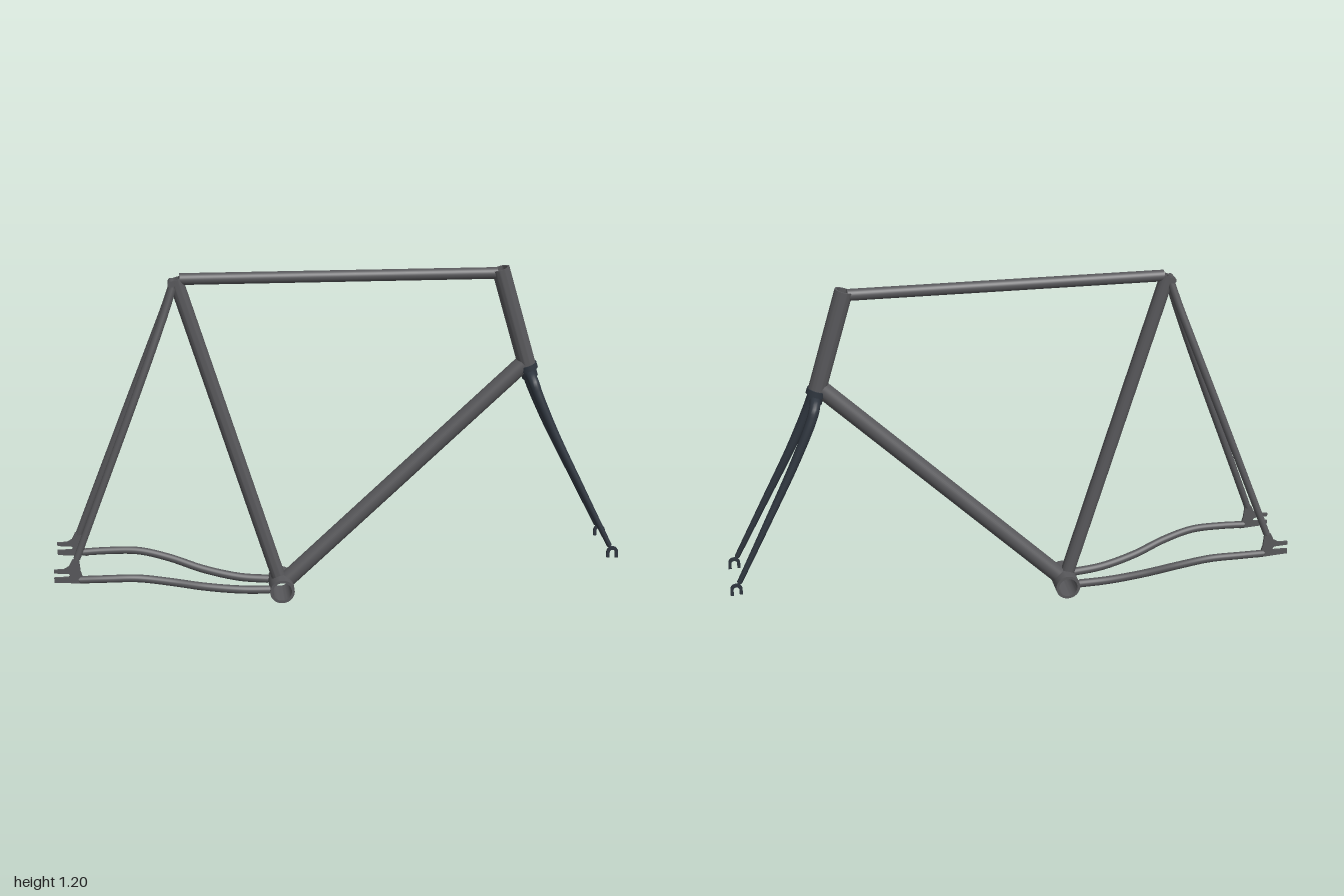
import * as THREE from 'three';
import { toCreasedNormals } from 'three/addons/utils/BufferGeometryUtils.js';

const V = (x, y, z = 0) => new THREE.Vector3(x, y, z);
const UP = V(0, 1, 0);

export function createModel() {
  const model = new THREE.Group();
  const frame = new THREE.Group();
  const fork = new THREE.Group();
  frame.name = 'frame';
  fork.name = 'fork';
  model.add(frame, fork);
  const frameMat = new THREE.MeshStandardMaterial({ color: 0x58585b });
  const forkMat = new THREE.MeshStandardMaterial({ color: 0x2f363f });

  function add(group, name, geometry) {
    const mesh = new THREE.Mesh(geometry, group === fork ? forkMat : frameMat);
    mesh.name = name;
    group.add(mesh);
    return mesh;
  }

  // Places a y-axis geometry along the line a-b
  function along(mesh, a, b) {
    mesh.position.copy(a).add(b).multiplyScalar(0.5);
    mesh.quaternion.setFromUnitVectors(UP, b.clone().sub(a).normalize());
    return mesh;
  }

  const rod = (group, name, a, b, r) =>
    along(add(group, name, new THREE.CylinderGeometry(r, r, a.distanceTo(b), 32)), a, b);

  // Straight tube with a wall and open ends
  function pipe(group, name, a, b, ro, ri) {
    const h = a.distanceTo(b) / 2;
    const profile = [[ri, -h], [ro, -h], [ro, h], [ri, h], [ri, -h]].map(p => new THREE.Vector2(...p));
    const geo = toCreasedNormals(new THREE.LatheGeometry(profile, 40), 0.6);
    return along(add(group, name, geo), a, b);
  }

  // Bent tube whose radius runs from r0 to r1, closed at both ends
  function bentTube(group, name, points, r0, r1) {
    const curve = new THREE.CatmullRomCurve3(points);
    const seg = 64, sides = 18;
    const geo = new THREE.TubeGeometry(curve, seg, 1, sides);
    const pos = geo.attributes.position, p = V(0, 0);
    for (let i = 0; i <= seg; i++) {
      const c = curve.getPointAt(i / seg);
      const r = i === 0 || i === seg ? 0.001 : THREE.MathUtils.lerp(r0, r1, i / seg);
      for (let j = 0; j <= sides; j++) {
        const k = i * (sides + 1) + j;
        p.fromBufferAttribute(pos, k).sub(c).multiplyScalar(r).add(c);
        pos.setXYZ(k, p.x, p.y, p.z);
      }
    }
    return add(group, name, geo);
  }

  // Flat plate centred on z
  function plate(group, name, shape, z, depth) {
    const geo = new THREE.ExtrudeGeometry(shape, { depth, bevelEnabled: false, curveSegments: 16 });
    geo.translate(0, 0, z - depth / 2);
    return add(group, name, geo);
  }

  // Main triangle
  const bb = V(-0.203, 0.044);
  const seatTop = V(-0.549, 1.186);
  const headTop = V(0.561, 1.195), headBottom = V(0.667, 0.838);
  const downTop = V(0.652, 0.852);
  const fromBB = (to, d) => bb.clone().add(to.clone().sub(bb).setLength(d));
  pipe(frame, 'bottomBracketShell', V(bb.x, bb.y, -0.065), V(bb.x, bb.y, 0.065), 0.044, 0.034);
  pipe(frame, 'seatTube', fromBB(seatTop, 0.036), seatTop, 0.025, 0.02);
  rod(frame, 'downTube', fromBB(downTop, 0.035), downTop, 0.03);
  rod(frame, 'topTube', V(-0.535, 1.185), V(0.55, 1.179), 0.02);
  pipe(frame, 'headTube', headBottom, headTop, 0.031, 0.024);
  rod(frame, 'seatBinder', V(-0.563, 1.172, -0.024), V(-0.563, 1.172, 0.024), 0.012);

  // Rear fork end with a slot open to the back
  const rearEnd = new THREE.Shape([
    [-1, 0.142], [-0.895, 0.135], [-0.908, 0.18], [-0.912, 0.225], [-0.935, 0.225],
    [-0.947, 0.2], [-0.965, 0.19], [-1, 0.189], [-1, 0.177], [-0.95, 0.174],
    [-0.944, 0.167], [-0.95, 0.16], [-1, 0.16],
  ].map(p => new THREE.Vector2(...p)));

  // Front fork end: a hook open downwards
  const hook = new THREE.Shape();
  hook.moveTo(1, 0.145);
  hook.lineTo(1, 0.166);
  hook.absarc(0.979, 0.166, 0.021, 0, Math.PI, false);
  hook.lineTo(0.958, 0.147);
  hook.lineTo(0.969, 0.147);
  hook.lineTo(0.969, 0.166);
  hook.absarc(0.979, 0.166, 0.01, Math.PI, 0, true);
  hook.lineTo(0.989, 0.145);

  // Paired parts on both sides
  for (const [side, s] of [['left', 1], ['right', -1]]) {
    const path = pts => pts.map(([x, y, z]) => V(x, y, z * s));
    bentTube(frame, side + 'SeatStay', path([
      [-0.555, 1.172, 0.012], [-0.585, 1.085, 0.026], [-0.64, 0.94, 0.053],
      [-0.72, 0.735, 0.08], [-0.83, 0.455, 0.101], [-0.925, 0.212, 0.12],
    ]), 0.014, 0.012);
    bentTube(frame, side + 'ChainStay', path([
      [-0.238, 0.047, 0.046], [-0.35, 0.056, 0.055], [-0.48, 0.083, 0.077],
      [-0.6, 0.12, 0.106], [-0.71, 0.145, 0.122], [-0.82, 0.149, 0.125], [-0.92, 0.148, 0.121],
    ]), 0.015, 0.013);
    plate(frame, side + 'RearDropout', rearEnd, 0.121 * s, 0.009);
    bentTube(fork, side + 'ForkBlade', path([
      [0.674, 0.812, -0.005], [0.675, 0.812, 0.035], [0.68, 0.798, 0.058], [0.693, 0.76, 0.067],
      [0.756, 0.615, 0.077], [0.86, 0.405, 0.091], [0.972, 0.182, 0.102],
    ]), 0.019, 0.009);
    plate(fork, side + 'ForkDropout', hook, 0.102 * s, 0.009);
  }

  // Fork crown under the head tube
  const axis = headBottom.clone().sub(headTop).normalize();
  const down = d => headBottom.clone().addScaledVector(axis, d);
  rod(fork, 'crownRace', down(-0.012), down(0.008), 0.035);
  rod(fork, 'forkCrown', down(0.004), down(0.036), 0.028);
  return model;
}
